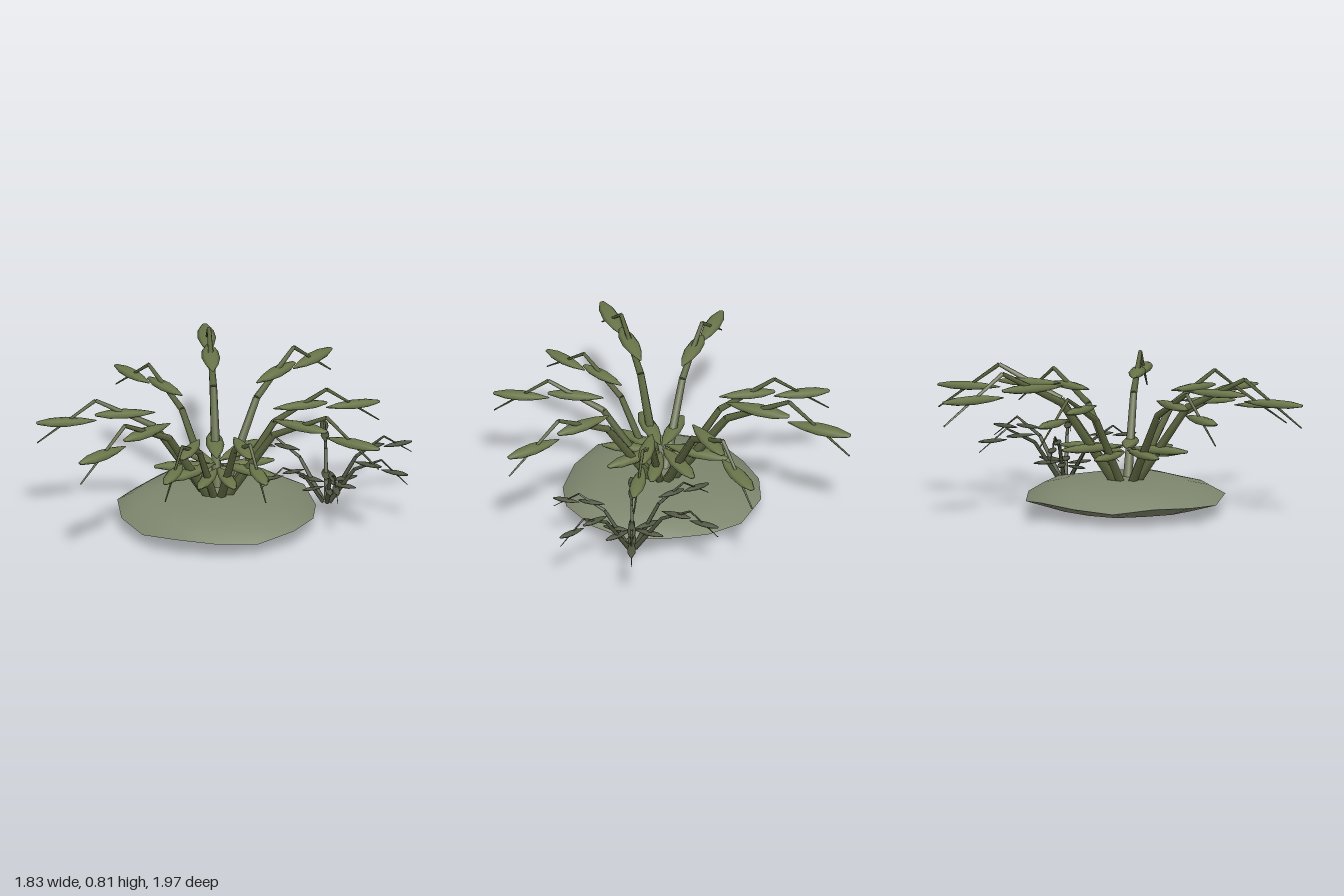
import * as THREE from 'three';
import { mergeVertices } from 'three/addons/utils/BufferGeometryUtils.js';

const mat = (name, color) => {
  const m = new THREE.MeshStandardMaterial({ color });
  m.name = name;
  return m;
};

// Half of the stone: a lathe pushed slightly out of round
function stoneHalf(profile, material, name) {
  const geo = new THREE.LatheGeometry(profile.map(([r, y]) => new THREE.Vector2(r, y)), 15);
  geo.deleteAttribute('uv');
  geo.deleteAttribute('normal');
  const p = geo.attributes.position;
  for (let i = 0; i < p.count; i++) {
    const x = p.getX(i), z = p.getZ(i), r = Math.hypot(x, z), a = Math.atan2(z, x);
    const k = 1 + 0.018 * Math.sin(3 * a + 1) + 0.012 * Math.sin(5 * a);
    const lift = 0.016 * Math.sin(5 * a + 0.6) * Math.min(1, r / 0.53) ** 4;
    p.setXYZ(i, x * k, p.getY(i) + lift, z * k);
  }
  const welded = mergeVertices(geo, 1e-4);
  welded.computeVertexNormals();
  const mesh = new THREE.Mesh(welded, material);
  mesh.name = name;
  return mesh;
}

// Flattened pod-shaped leaf lying along +x
function leafGeometry(length, width, thickness) {
  const profile = [[0, 0], [0.14, 0.02], [0.7, 0.25], [1, 0.5], [0.88, 0.76], [0.32, 0.98], [0, 1]];
  const geo = new THREE.LatheGeometry(profile.map(([r, t]) => new THREE.Vector2(r, t - 0.5)), 8);
  geo.scale(thickness / 2, length, width / 2);
  geo.rotateZ(-Math.PI / 2);
  return geo;
}

// Tapered rod between two points
function rod(a, b, ra, rb, material) {
  const d = b.clone().sub(a);
  const mesh = new THREE.Mesh(new THREE.CylinderGeometry(rb, ra, d.length(), 5), material);
  mesh.position.copy(a).add(b).multiplyScalar(0.5);
  mesh.quaternion.setFromUnitVectors(new THREE.Vector3(0, 1, 0), d.normalize());
  mesh.name = 'stem';
  return mesh;
}

// Bent stem with one level leaf through the middle of each of its three segments
function frond(angle, L, rootY, baseY, stemMat, leafMat) {
  const g = new THREE.Group();
  g.name = 'frond';
  const pts = [
    [0.02, rootY],
    [0.345 * L, baseY + 0.405 * L],
    [0.67 * L, baseY + 0.575 * L],
    [0.99 * L, baseY + 0.34 * L],
  ].map(([x, y]) => new THREE.Vector3(x, y, 0));
  const radii = [0.028, 0.02, 0.011, 0.004].map((r) => r * L);
  for (let i = 0; i < 3; i++) {
    g.add(rod(pts[i], pts[i + 1], radii[i], radii[i + 1], stemMat));
    const leaf = new THREE.Mesh(leafGeometry(0.335 * L, 0.09 * L, 0.046 * L), leafMat);
    leaf.position.copy(pts[i]).add(pts[i + 1]).multiplyScalar(0.5);
    leaf.name = 'leaf';
    g.add(leaf);
  }
  g.rotation.y = THREE.MathUtils.degToRad(angle);
  return g;
}

function plant(name, x, z, fronds, rootY, baseY, stemMat, leafMat) {
  const g = new THREE.Group();
  g.name = name;
  for (const [angle, L] of fronds) g.add(frond(angle, L, rootY, baseY, stemMat, leafMat));
  g.position.set(x, 0, z);
  return g;
}

export function createModel() {
  const stone = mat('stone grey green', 0x7d856d);
  const leaf = mat('leaf green', 0x6a754a);
  const stem = mat('stem green', 0x5c6640);
  const dark = mat('dark sprout green', 0x4e5540);

  const model = new THREE.Group();
  model.name = 'plantOnStone';

  // Stone
  const rock = new THREE.Group();
  rock.name = 'stone';
  rock.add(
    stoneHalf([[0, 0], [0.2, 0.006], [0.38, 0.03], [0.535, 0.085]], stone, 'stoneUnderside'),
    stoneHalf([[0.535, 0.085], [0.45, 0.137], [0.33, 0.165], [0.15, 0.175], [0, 0.177]], stone, 'stoneTop')
  );
  rock.position.set(-0.08, 0, 0.015);
  model.add(rock);

  // Large plant: direction in degrees and reach of each frond
  model.add(plant('largePlant', -0.08, 0.02, [
    [118, 1.1], [78.5, 1.04], [41, 0.91], [-5, 1.0], [-49, 0.915],
    [-84.5, 0.87], [-111.5, 1.03], [-149, 0.98], [151, 0.92],
  ], 0.1, 0.17, stem, leaf));

  // Small sprout at the edge of the stone
  model.add(plant('smallPlant', 0.405, -0.32, [
    [116, 0.51], [50, 0.51], [-2, 0.49], [-57.5, 0.446], [-129, 0.387], [172, 0.485],
  ], 0.07, 0.09, dark, dark));

  return model;
}
